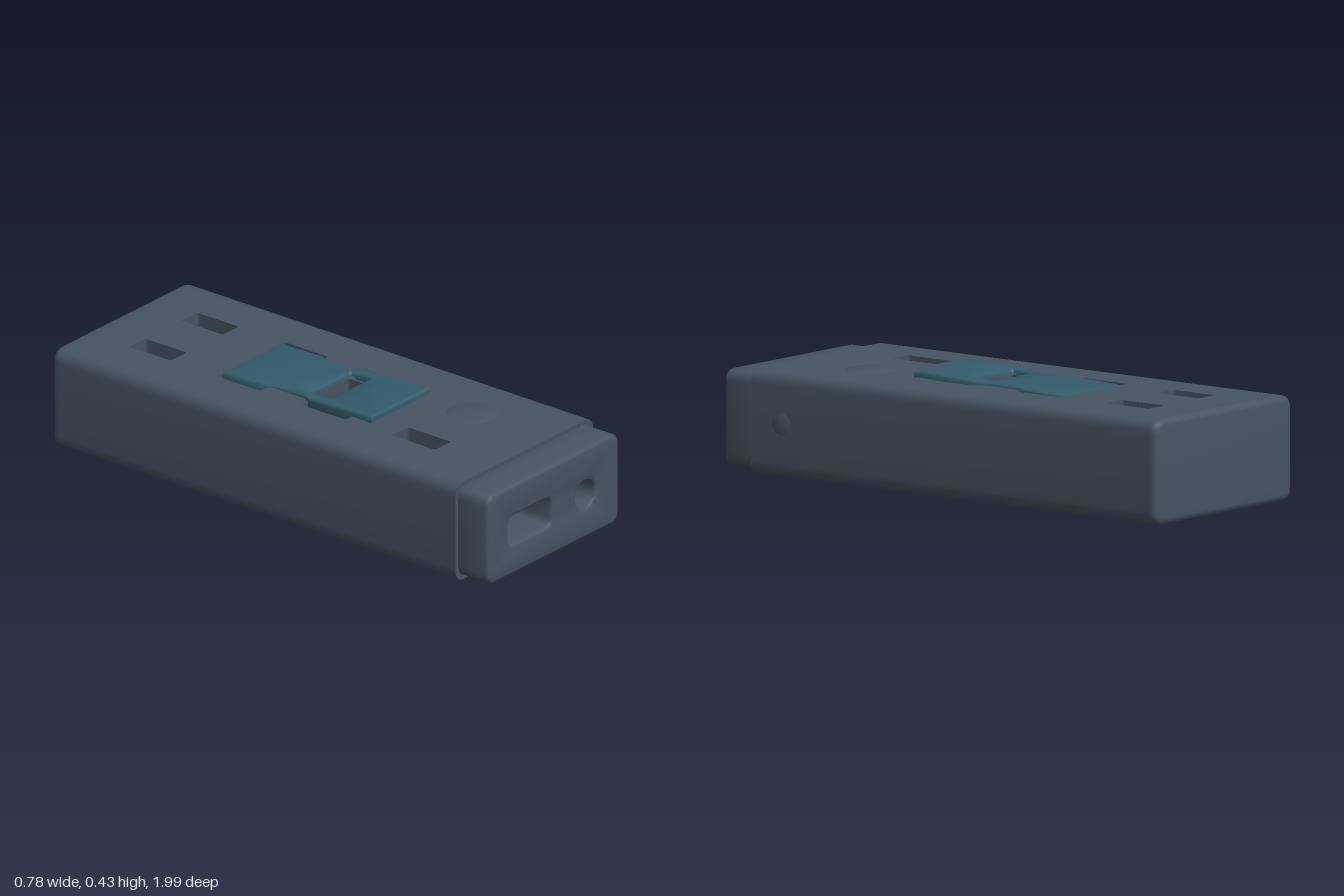
import * as THREE from 'three';
import { toCreasedNormals } from 'three/addons/utils/BufferGeometryUtils.js';

const shellMat = new THREE.MeshStandardMaterial({ color: 0x465462 });
const sliderMat = new THREE.MeshStandardMaterial({ color: 0x345b6b });
const innerMat = new THREE.MeshStandardMaterial({ color: 0xb8b4ae });

// Rounded rectangle between two corners, as a Shape or a hole Path
function roundRect(x0, y0, x1, y1, r, Type = THREE.Shape) {
  const s = new Type();
  s.moveTo(x0 + r, y0).lineTo(x1 - r, y0);
  s.quadraticCurveTo(x1, y0, x1, y0 + r).lineTo(x1, y1 - r);
  s.quadraticCurveTo(x1, y1, x1 - r, y1).lineTo(x0 + r, y1);
  s.quadraticCurveTo(x0, y1, x0, y1 - r).lineTo(x0, y0 + r);
  s.quadraticCurveTo(x0, y0, x0 + r, y0);
  return s;
}

// Extrusion from a to b, its bevel kept inside the outline
function extrude(shape, a, b, bevel = 0) {
  const g = new THREE.ExtrudeGeometry(shape, {
    depth: b - a - 2 * bevel, curveSegments: 6, bevelEnabled: bevel > 0,
    bevelSize: bevel, bevelThickness: bevel, bevelOffset: -bevel, bevelSegments: 3,
  });
  return g.translate(0, 0, a + bevel);
}

export function createModel() {
  const model = new THREE.Group();
  const add = (name, geo, mat = shellMat) => {
    const mesh = new THREE.Mesh(toCreasedNormals(geo, 0.6), mat);
    mesh.name = name;
    model.add(mesh);
    return mesh;
  };

  // Hollow channel: floor, walls and rounded shoulders
  const [l, r, b, t, c] = [-0.39, 0.38, 0.025, 0.405, 0.05];
  const channel = new THREE.Shape();
  channel.moveTo(-0.3, t).lineTo(l + c, t);
  channel.quadraticCurveTo(l, t, l, t - c).lineTo(l, b + c);
  channel.quadraticCurveTo(l, b, l + c, b).lineTo(r - c, b);
  channel.quadraticCurveTo(r, b, r, b + c).lineTo(r, t - c);
  channel.quadraticCurveTo(r, t, r - c, t).lineTo(0.3, t);
  for (const [x, y] of [[0.3, 0.345], [0.33, 0.345], [0.33, 0.08], [-0.33, 0.08], [-0.33, 0.345], [-0.3, 0.345]]) {
    channel.lineTo(x, y);
  }
  channel.closePath();
  add('bodyShell', extrude(channel, -0.96, 0.86));

  // Closed rear end with softened edges
  add('rearEnd', extrude(roundRect(l, b, r, t, c), -0.99, -0.92, 0.022));

  // Top panel with slots, drawn in x and -z
  const panel = roundRect(-0.3, -0.86, 0.3, 0.96, 0.001);
  const slots = [
    [-0.2, -0.79, -0.11, -0.6], [0.09, -0.79, 0.18, -0.6], [-0.2, 0.41, -0.11, 0.61],
    [-0.2, -0.39, -0.11, -0.19], [0.09, -0.39, 0.18, -0.19],
    [-0.2, 0, -0.11, 0.2], [0.09, 0, 0.175, 0.2], [-0.1, -0.02, 0.08, 0.06],
  ];
  for (const [x0, z0, x1, z1] of slots) {
    panel.holes.push(roundRect(x0, -z1, x1, -z0, 0.012, THREE.Path));
  }
  add('topPanel', extrude(panel, 0.345, t).rotateX(-Math.PI / 2));

  // Front cap with an oblong port and a round one
  const cap = roundRect(-0.375, 0.042, 0.362, 0.388, 0.045);
  cap.holes.push(roundRect(-0.255, 0.158, -0.018, 0.267, 0.03, THREE.Path));
  const round = new THREE.Path();
  round.absarc(0.175, 0.21, 0.054, 0, Math.PI * 2, true);
  cap.holes.push(round);
  add('frontCap', extrude(cap, 0.8, 0.995, 0.014));
  add('portBlock', new THREE.BoxGeometry(0.17, 0.2, 0.05).translate(-0.08, 0.21, 0.66), innerMat);

  // Slider on top: waisted outline, finger slot, sloping down to the rear
  const slider = new THREE.Shape([
    [-0.165, -0.29], [0.163, -0.29], [0.163, 0], [0.147, 0.03], [0.147, 0.17], [0.163, 0.2],
    [0.163, 0.39], [-0.165, 0.39], [-0.165, 0.2], [-0.15, 0.17], [-0.15, 0.03], [-0.165, 0],
  ].map(([x, y]) => new THREE.Vector2(x, y)));
  slider.holes.push(roundRect(-0.115, -0.065, 0.105, 0.025, 0.01, THREE.Path));
  const tilt = (geo, slope, z0) => {
    const p = geo.attributes.position;
    for (let i = 0; i < p.count; i++) p.setY(i, p.getY(i) + slope * (p.getZ(i) - z0));
    geo.computeVertexNormals();
    return geo;
  };
  add('topSlider', tilt(extrude(slider, 0.36, 0.43, 0.012).rotateX(-Math.PI / 2), 0.032, 0.29), sliderMat);

  // Slider underneath, sloping the other way
  const under = roundRect(-0.15, -0.22, 0.15, 0.37, 0.015);
  add('bottomSlider', tilt(extrude(under, 0, 0.06, 0.012).rotateX(-Math.PI / 2), 0.034, -0.37), sliderMat);

  // Faint round button on the top and a small nub on the side
  add('button', new THREE.CylinderGeometry(0.08, 0.095, 0.006, 32).translate(0.13, t + 0.002, 0.51));
  add('sideNub', new THREE.ConeGeometry(0.05, 0.015, 12).rotateZ(-Math.PI / 2).translate(0.385, 0.22, 0.72));

  return model;
}
